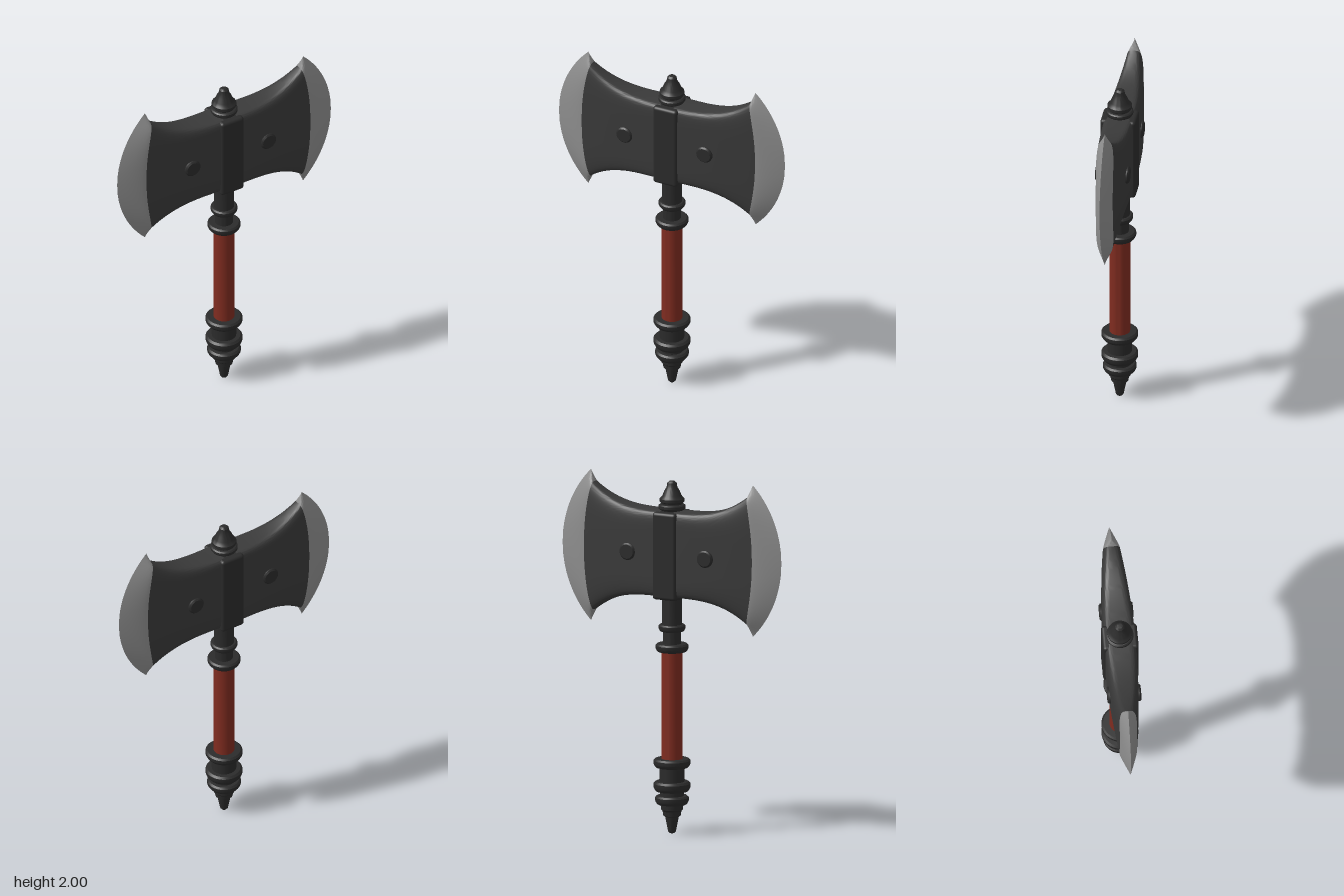
import * as THREE from 'three';
import { toCreasedNormals } from 'three/addons/utils/BufferGeometryUtils.js';
import { RoundedBoxGeometry } from 'three/addons/geometries/RoundedBoxGeometry.js';

const material = (color) => new THREE.MeshStandardMaterial({ color, side: THREE.DoubleSide });
const dark = material(0x2b2b2b);
const iron = material(0x3a3a3a);
const steel = material(0x8f8f8f);
const red = material(0x802c20);

const HEAD_Y = 1.575;

function part(name, geometry, mat) {
  const mesh = new THREE.Mesh(geometry, mat);
  mesh.name = name;
  return mesh;
}

// Turned part from [radius, height] pairs, with crisp steps
function turned(name, points, mat, sides = 40) {
  const profile = points.map(([r, y]) => new THREE.Vector2(r, y));
  return part(name, toCreasedNormals(new THREE.LatheGeometry(profile, sides), 0.5), mat);
}

// Collar ring: bevelled rim that narrows to the shaft below it
function ring(name, r, y0, y1) {
  const b = (y1 - y0) * 0.2;
  return turned(name, [
    [0, y0], [r * 0.87, y0], [r * 0.95, y0 + b], [r, y0 + 2 * b],
    [r, y1 - b], [r - b, y1], [0, y1],
  ], dark);
}

// Blade outlines: v runs from -1 (bottom) to 1 (top)
const RADIUS = 0.592;
const outerX = (v) => 0.098 + Math.sqrt(RADIUS ** 2 - (0.425 * v) ** 2);
const borderX = (v) => 0.53 - 0.045 * v * v;
const thickness = (x) => 0.088 * Math.pow(1 - (x / 0.69) ** 2, 0.7);
const lerp = THREE.MathUtils.lerp;

// Iron cheek, flaring from the socket to the steel
function cheekRule(s, v) {
  const x = lerp(0.04, borderX(v), s);
  return { x, h: 0.24 + 0.12 * s ** 3, t: thickness(x) };
}

// Steel edge, thinning to the cutting line and sweeping into horns
function edgeRule(s, v) {
  return {
    x: lerp(borderX(v), outerX(v), s),
    h: lerp(0.36, 0.425, s),
    t: thickness(borderX(v)) * (1 - s ** 1.3),
  };
}

// Loft of rounded cross-sections following one of the rules above
function loft(rule, power0, power1, steps) {
  const geo = new THREE.PlaneGeometry(1, 1, steps, 96);
  const pos = geo.attributes.position;
  for (let i = 0; i < pos.count; i++) {
    const s = THREE.MathUtils.clamp(pos.getX(i) + 0.5, 0, 1);
    const a = -2 * Math.PI * (pos.getY(i) + 0.5);
    const e = 2 / lerp(power0, power1, s);
    const c = Math.cos(a), d = Math.sin(a);
    const v = Math.sign(c) * Math.abs(c) ** e;
    const w = Math.abs(d) < 1e-6 ? 0 : Math.sign(d) * Math.abs(d) ** e;
    const { x, h, t } = rule(s, v);
    pos.setXYZ(i, x, HEAD_Y + v * h, w * t);
  }
  return toCreasedNormals(geo, 0.6);
}

export function createModel() {
  const model = new THREE.Group();
  model.name = 'doubleAxe';

  // Grip and the shaft running up through the head
  model.add(turned('grip', [[0.058, 0.41], [0.058, 1.03]], red));
  model.add(turned('upperShaft', [[0.05, 1.05], [0.05, 1.16], [0.056, 1.17], [0.056, 1.34]], dark));

  // Pommel: pointed tip, stepped body and rings
  model.add(turned('pommelTip', [
    [0, 0], [0.014, 0.002], [0.022, 0.012], [0.038, 0.095], [0.048, 0.1], [0.052, 0.125],
    [0.06, 0.135], [0.064, 0.17], [0.066, 0.24], [0.068, 0.3], [0.068, 0.4],
  ], dark));
  model.add(ring('pommelRing', 0.093, 0.165, 0.212));
  model.add(ring('pommelRing', 0.102, 0.238, 0.292));
  model.add(ring('gripLowerRing', 0.102, 0.372, 0.42));

  // Rings above the grip
  model.add(ring('gripUpperRing', 0.091, 1.022, 1.066));
  model.add(ring('neckRing', 0.074, 1.136, 1.174));

  // Finial on top of the head
  model.add(turned('finial', [
    [0.058, 1.79], [0.058, 1.815], [0.07, 1.82], [0.075, 1.828], [0.075, 1.842], [0.068, 1.848],
    [0.058, 1.85], [0.06, 1.858], [0.068, 1.864], [0.068, 1.88], [0.06, 1.888], [0.052, 1.9],
    [0.042, 1.925], [0.03, 1.945], [0.026, 1.968], [0.016, 1.978], [0, 1.98],
  ], dark));

  // Socket block joining the blades
  const socket = part('socket', new RoundedBoxGeometry(0.148, 0.49, 0.198, 3, 0.018), dark);
  socket.position.y = 1.567;
  model.add(socket);

  // Two mirrored blades
  const cheek = loft(cheekRule, 8, 4, 24);
  const edge = loft(edgeRule, 4, 3, 14);
  for (const [name, turn] of [['leftBlade', 0], ['rightBlade', Math.PI]]) {
    const blade = new THREE.Group();
    blade.name = name;
    blade.add(part('cheek', cheek, iron), part('cuttingEdge', edge, steel));
    blade.rotation.y = turn;
    model.add(blade);
  }

  // Rivets passing through each cheek
  for (const x of [-0.252, 0.236]) {
    const rivet = turned('rivet', [
      [0, -0.094], [0.04, -0.094], [0.048, -0.086], [0.048, 0.086], [0.04, 0.094], [0, 0.094],
    ], dark, 28);
    rivet.rotation.x = Math.PI / 2;
    rivet.position.set(x, HEAD_Y, 0);
    model.add(rivet);
  }

  return model;
}
